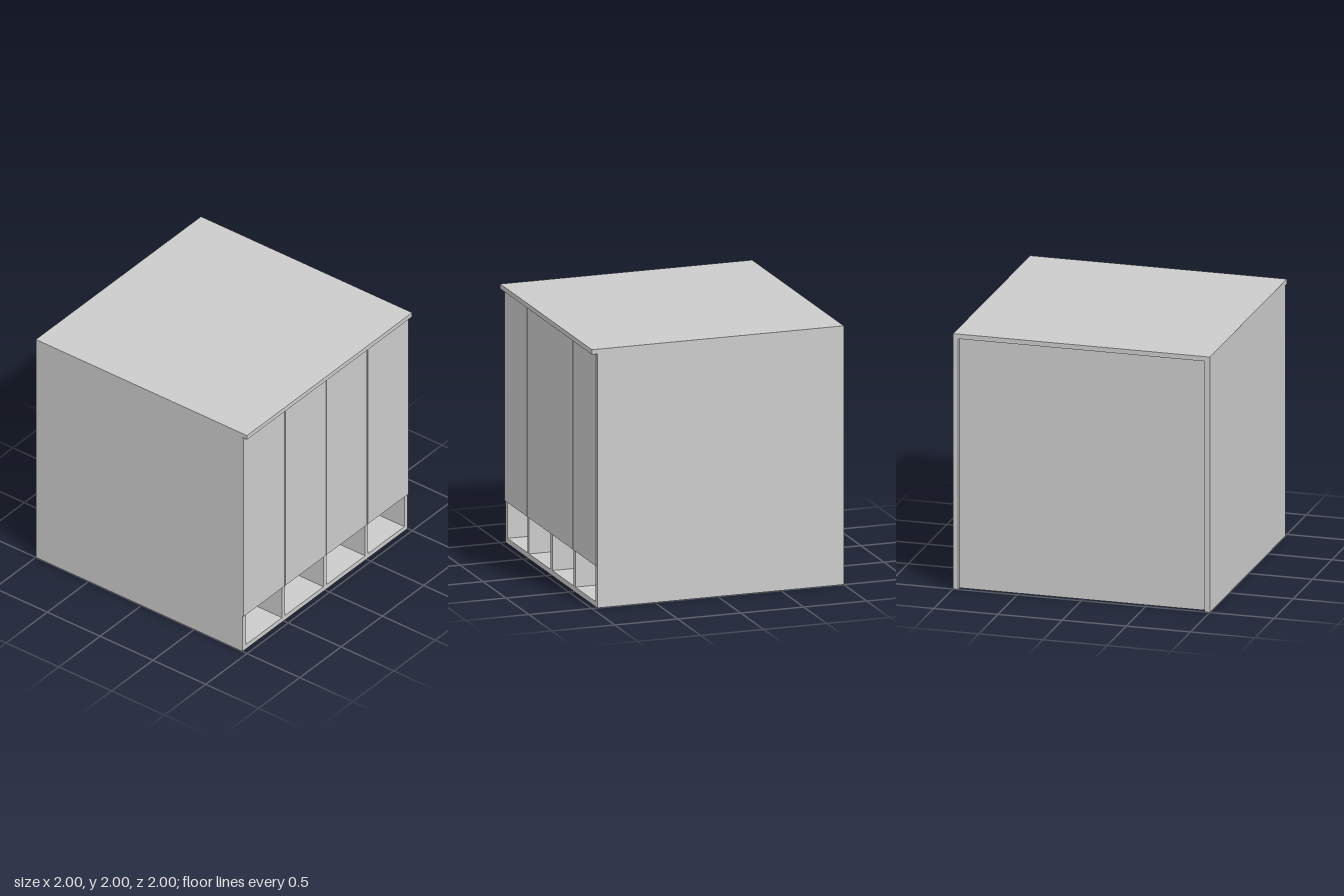
import * as THREE from 'three';

const material = new THREE.MeshStandardMaterial({ color: 0xcccccc });

// Box given by its limits along each axis
function panel(parent, name, [x0, x1], [y0, y1], [z0, z1]) {
  const mesh = new THREE.Mesh(new THREE.BoxGeometry(x1 - x0, y1 - y0, z1 - z0), material);
  mesh.position.set((x0 + x1) / 2, (y0 + y1) / 2, (z0 + z1) / 2);
  mesh.name = name;
  parent.add(mesh);
}

export function createModel() {
  const wardrobe = new THREE.Group();
  wardrobe.name = 'wardrobe';

  const front = 0.957, back = -0.96;
  const inner = 0.96, topY = 1.963;
  const depth = [back + 0.015, front];

  // Carcass: overhanging top, floor, and a back panel set in between the sides
  panel(wardrobe, 'top', [-1, 1], [topY, 2], [-1, 1]);
  panel(wardrobe, 'floor', [-inner, inner], [0, 0.04], depth);
  panel(wardrobe, 'backPanel', [-inner, inner], [0, topY - 0.012], [back, back + 0.015]);
  panel(wardrobe, 'leftSide', [inner, 1], [0, topY], [-1, front]);
  panel(wardrobe, 'rightSide', [-1, -inner], [0, topY], [-1, front]);

  // Lower deck above the open compartments
  panel(wardrobe, 'deck', [-inner, inner], [0.322, 0.36], depth);

  // Dividers of the open compartments
  for (const x of [-0.503, 0, 0.503]) {
    panel(wardrobe, 'compartmentDivider', [x - 0.018, x + 0.018], [0.04, 0.322], depth);
  }

  // Interior behind the doors: central partition and a shelf on each side
  panel(wardrobe, 'centrePartition', [-0.027, 0.027], [0.36, topY], depth);
  panel(wardrobe, 'rightShelf', [-inner, -0.027], [1.08, 1.12], depth);
  panel(wardrobe, 'leftShelf', [0.027, inner], [1.08, 1.12], depth);

  // Four thin doors, mirrored about the middle
  for (const [a, b] of [[0.003, 0.495], [0.506, 0.999]]) {
    panel(wardrobe, 'leftDoor', [a, b], [0.325, 1.955], [front, 0.968]);
    panel(wardrobe, 'rightDoor', [-b, -a], [0.325, 1.955], [front, 0.968]);
  }

  return wardrobe;
}
